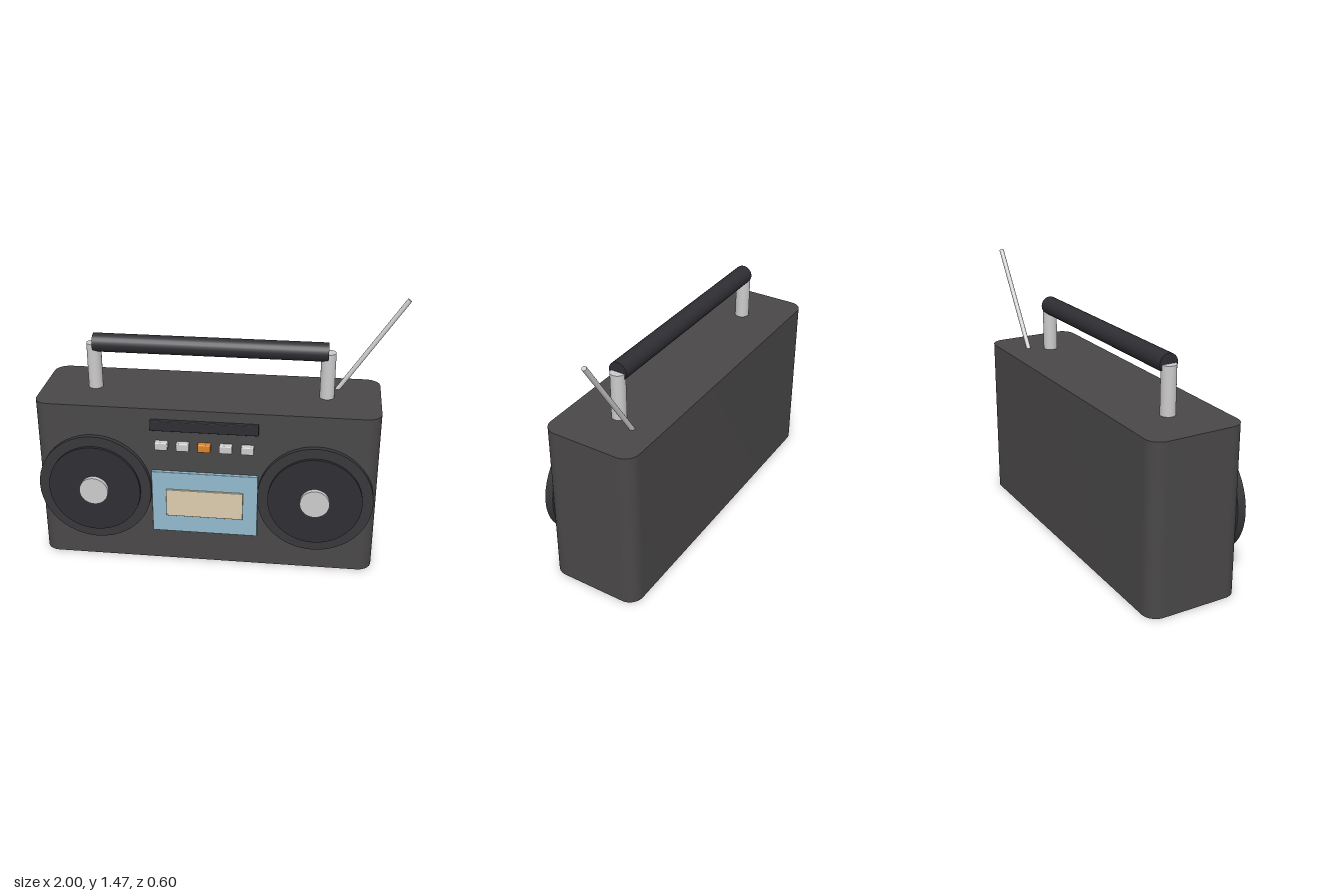
import * as THREE from 'three';
import { toCreasedNormals } from 'three/addons/utils/BufferGeometryUtils.js';
import { RoundedBoxGeometry } from 'three/addons/geometries/RoundedBoxGeometry.js';

const mat = (color) => new THREE.MeshStandardMaterial({ color });
const grey = mat(0xcccccc);
const shell = mat(0x4a4848);
const dark = mat(0x2e2e33);
const darkRim = mat(0x38373a);
const blue = mat(0x92bacd);
const cream = mat(0xdccdae);
const orange = mat(0xd98428);

const FRONT = 0.23; // z of the front panel
const MID = -0.065; // x of the body's centre

export function createModel() {
  const model = new THREE.Group();
  model.name = 'portableStereo';

  const add = (name, geometry, material, x, y, z, parent = model) => {
    const mesh = new THREE.Mesh(geometry, material);
    mesh.name = name;
    mesh.position.set(x, y, z);
    parent.add(mesh);
    return mesh;
  };

  // Box that stands proud of the front panel by the given amount
  const panel = (name, w, h, proud, material, x, y, r = 0.003) => {
    const d = proud + 0.02;
    return add(name, new RoundedBoxGeometry(w, h, d, 2, r), material, x, y, FRONT + proud - d / 2);
  };

  // Disc facing +z between two depths
  const disc = (name, r, z0, z1, material, parent) => {
    const g = new THREE.CylinderGeometry(r, r, z1 - z0, 48).rotateX(Math.PI / 2);
    return add(name, g, material, 0, 0, (z0 + z1) / 2, parent);
  };

  // Rod between two points
  const rod = (name, a, b, r, material, sides = 24) => {
    const dir = b.clone().sub(a);
    const mesh = add(name, new THREE.CylinderGeometry(r, r, dir.length(), sides), material, 0, 0, 0);
    mesh.position.copy(a).add(b).multiplyScalar(0.5);
    mesh.quaternion.setFromUnitVectors(new THREE.Vector3(0, 1, 0), dir.normalize());
    return mesh;
  };

  // Body: rounded rectangle footprint, raised straight up
  const w = 0.935, d = 0.265, r = 0.08;
  const foot = new THREE.Shape();
  foot.moveTo(-w + r, -d);
  foot.absarc(w - r, -d + r, r, -Math.PI / 2, 0);
  foot.absarc(w - r, d - r, r, 0, Math.PI / 2);
  foot.absarc(-w + r, d - r, r, Math.PI / 2, Math.PI);
  foot.absarc(-w + r, -d + r, r, Math.PI, Math.PI * 1.5);
  const body = new THREE.ExtrudeGeometry(foot, { depth: 0.935, bevelEnabled: false, curveSegments: 10 });
  body.rotateX(-Math.PI / 2);
  add('body', toCreasedNormals(body, 0.6), shell, MID, 0, -0.035);

  // Speakers: rim, cone cover and centre cap
  for (const [side, x] of [['right', -0.675], ['left', 0.54]]) {
    const speaker = new THREE.Group();
    speaker.name = side + 'Speaker';
    speaker.position.set(x, 0.447, 0);
    model.add(speaker);
    disc('speakerRim', 0.315, 0.21, 0.258, darkRim, speaker);
    disc('speakerCone', 0.257, 0.24, 0.275, dark, speaker);
    disc('speakerCap', 0.08, 0.26, 0.3, grey, speaker);
  }

  // Tuner strip, cassette door and its window
  panel('tunerStrip', 0.585, 0.06, 0.023, dark, MID, 0.846);
  panel('cassetteDoor', 0.585, 0.375, 0.02, blue, MID, 0.378);
  panel('cassetteLabel', 0.425, 0.165, 0.03, cream, MID, 0.379);

  // Row of push buttons, the middle one highlighted
  for (let i = -2; i <= 2; i++) {
    panel('button', 0.07, 0.046, 0.034, i === 0 ? orange : grey, MID + i * 0.117, 0.727, 0.006);
  }

  // Carrying handle
  const hz = -0.035;
  for (const [side, x] of [['right', -0.71], ['left', 0.575]]) {
    rod(side + 'HandlePost', new THREE.Vector3(x, 0.92, hz), new THREE.Vector3(x, 1.195, hz), 0.04, grey);
  }
  rod('handleGrip', new THREE.Vector3(-0.71, 1.197, hz), new THREE.Vector3(0.575, 1.197, hz), 0.052, dark);

  // Tilted antenna
  rod('antenna', new THREE.Vector3(0.63, 0.93, -0.152), new THREE.Vector3(0.985, 1.465, -0.152), 0.013, grey, 16);

  return model;
}
